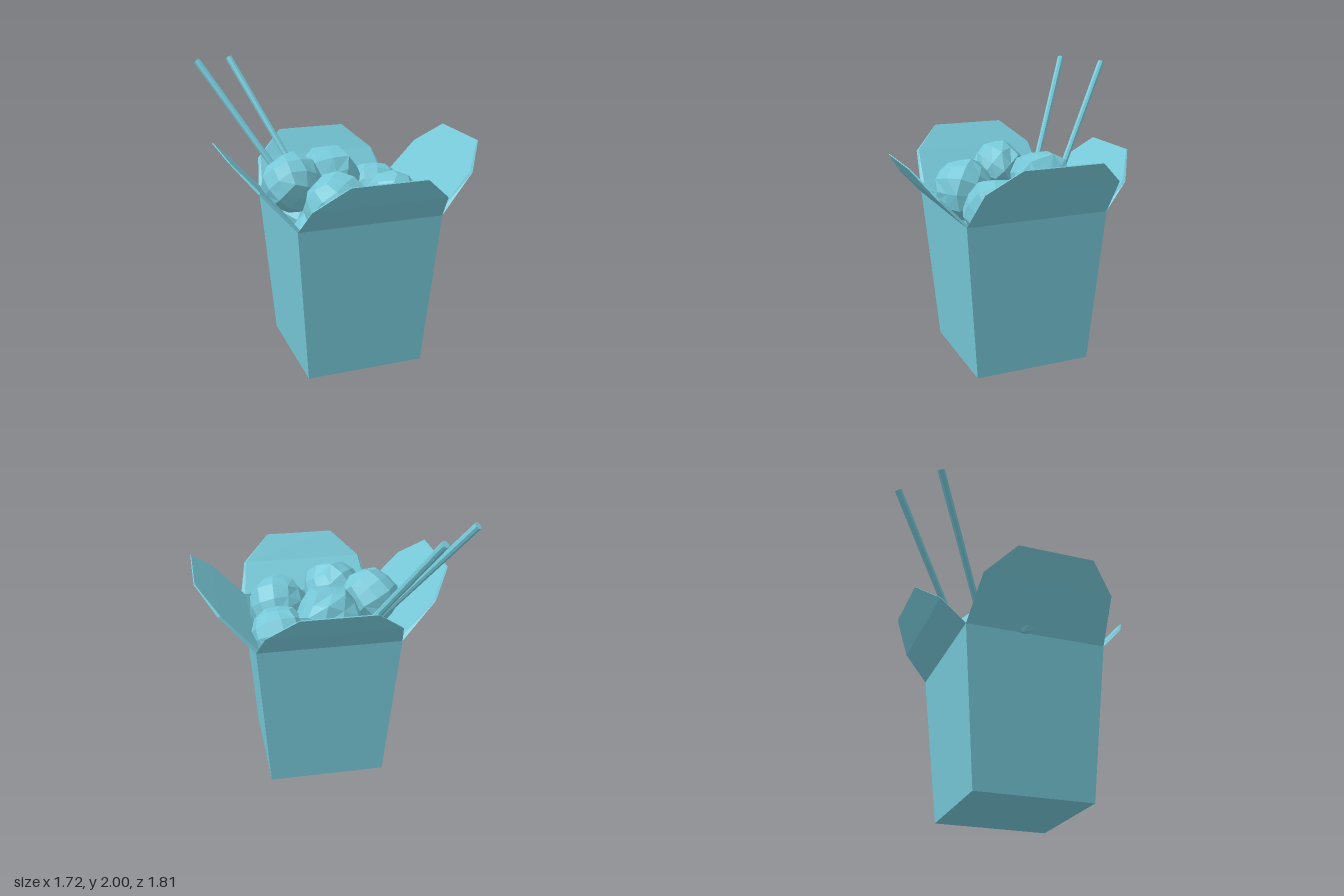
import * as THREE from 'three';

const material = new THREE.MeshStandardMaterial({ color: 0x76c8d8, flatShading: true, side: THREE.DoubleSide });
const BOX_Z = 0.12; // box sits slightly forward, balancing the chopsticks
const RIM_Y = 1.09;

function add(parent, geometry, name) {
  const mesh = new THREE.Mesh(geometry, material);
  mesh.name = name;
  parent.add(mesh);
  return mesh;
}

// Square tapered carton with thin walls, open at the top
function cartonGeometry() {
  const profile = [[0, 0], [0.41, 0], [0.495, RIM_Y], [0.47, RIM_Y], [0.395, 0.02], [0, 0.02]]
    .map(([half, y]) => new THREE.Vector2(half * Math.SQRT2, y));
  return new THREE.LatheGeometry(profile, 4, Math.PI / 4);
}

// Tapered flap lofted from rows of [half width, distance out, height]; it thins toward the tip
function flapGeometry(rows) {
  const inset = [[0.025, 0.025, 0], [0.012, 0.014, 0.008], [0.004, 0.006, 0.004]];
  const positions = [];
  rows.forEach(([w, out, y], i) => {
    const [dw, dOut, dy] = inset[i];
    positions.push(-w, y, out, w, y, out, w - dw, y + dy, out - dOut, dw - w, y + dy, out - dOut);
  });
  const index = [];
  for (let r = 0; r < rows.length - 1; r++) {
    for (let k = 0; k < 4; k++) {
      const a = r * 4 + k, b = r * 4 + (k + 1) % 4;
      index.push(a, b, b + 4, a, b + 4, a + 4);
    }
  }
  const top = (rows.length - 1) * 4;
  index.push(top, top + 1, top + 2, top, top + 2, top + 3);
  const geometry = new THREE.BufferGeometry();
  geometry.setAttribute('position', new THREE.Float32BufferAttribute(positions, 3));
  geometry.setIndex(index);
  geometry.computeVertexNormals();
  return geometry;
}

// Faceted lump: a gridded cube pushed onto an uneven sphere
function lumpGeometry(radius, seed) {
  const geometry = new THREE.BoxGeometry(2, 2, 2, 3, 3, 3);
  const p = geometry.attributes.position;
  const v = new THREE.Vector3();
  for (let i = 0; i < p.count; i++) {
    v.fromBufferAttribute(p, i);
    const bump = Math.sin(v.x * 5.1 + seed) * Math.sin(v.y * 4.3 + seed * 2) + Math.sin(v.z * 3.7 + seed * 3);
    v.set(Math.tan(v.x * 0.76), Math.tan(v.y * 0.76), Math.tan(v.z * 0.76));
    v.normalize().multiplyScalar(radius * (1 + 0.045 * bump));
    p.setXYZ(i, v.x, v.y, v.z);
  }
  geometry.computeVertexNormals();
  return geometry;
}

function addChopstick(parent, top, bottom, name) {
  const a = new THREE.Vector3(...top), b = new THREE.Vector3(...bottom);
  const axis = a.clone().sub(b);
  const stick = add(parent, new THREE.CylinderGeometry(0.026, 0.021, axis.length(), 8), name);
  stick.position.copy(a).add(b).multiplyScalar(0.5);
  stick.quaternion.setFromUnitVectors(new THREE.Vector3(0, 1, 0), axis.normalize());
}

export function createModel() {
  const model = new THREE.Group();
  model.name = 'takeoutBox';

  // Carton and its four open flaps
  const box = new THREE.Group();
  box.name = 'box';
  box.position.z = BOX_Z;
  model.add(box);
  add(box, cartonGeometry(), 'carton');
  const shortFlap = flapGeometry([[0.495, 0.495, RIM_Y], [0.45, 0.66, 1.27], [0.25, 0.785, 1.44]]);
  const longFlap = flapGeometry([[0.495, 0.495, RIM_Y], [0.455, 0.725, 1.35], [0.265, 0.86, 1.51]]);
  ['frontFlap', 'leftFlap', 'backFlap', 'rightFlap'].forEach((name, i) => {
    add(box, i % 2 ? longFlap : shortFlap, name).rotation.y = i * Math.PI / 2;
  });

  // Food: five lumps on top, four underneath [x, y, z, radius]
  const food = new THREE.Group();
  food.name = 'food';
  model.add(food);
  [
    [-0.04, 1.2, -0.13, 0.22], [0.305, 1.09, -0.11, 0.19], [-0.37, 1.24, 0.05, 0.2],
    [-0.165, 1.16, 0.4, 0.22], [0.255, 1.11, 0.32, 0.22],
    [-0.23, 0.92, -0.12, 0.19], [0.02, 0.86, 0.1, 0.2], [-0.25, 0.9, 0.28, 0.2], [0.25, 0.8, 0.1, 0.18],
  ].forEach(([x, y, z, r], i) => {
    const lump = add(food, lumpGeometry(r, i * 1.7), 'foodLump');
    lump.position.set(x, y, z);
    lump.rotation.set(i * 0.9 + 0.4, i * 1.3, i * 0.7 + 0.3);
  });

  // Chopsticks leaning to the back right
  addChopstick(model, [-0.84, 1.985, -0.67], [-0.12, 0.8, 0], 'outerChopstick');
  addChopstick(model, [-0.565, 1.965, -0.885], [-0.04, 0.8, -0.11], 'innerChopstick');
  return model;
}
